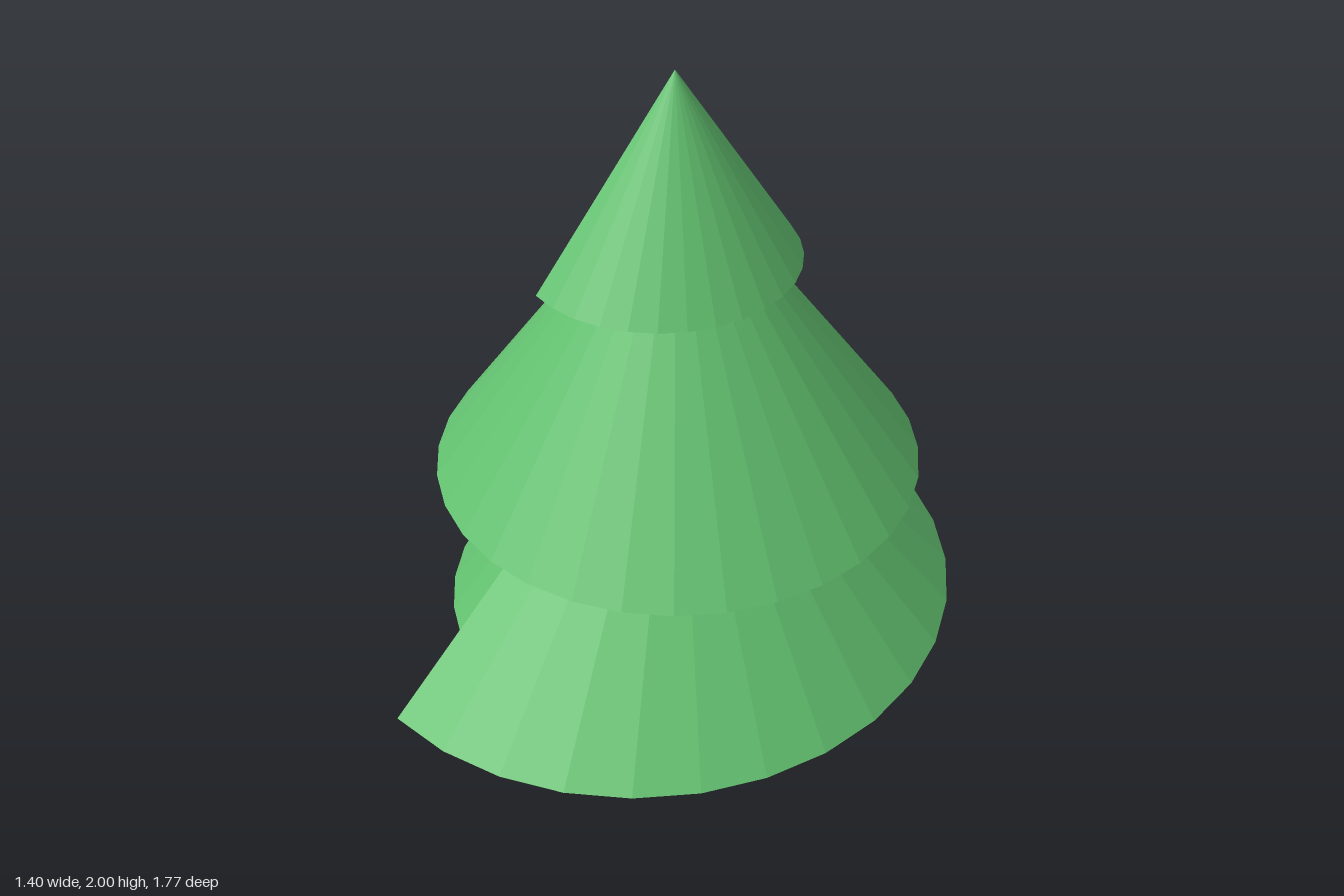
import * as THREE from 'three';

const CX = -0.055, CZ = 0.01, SIDES = 32;

export function createModel() {
  const tree = new THREE.Group();
  tree.name = 'firTree';
  const green = new THREE.MeshStandardMaterial({ color: 0x62c06f, flatShading: true });
  const brown = new THREE.MeshStandardMaterial({ color: 0xd9825a, flatShading: true });
  const grey = new THREE.MeshStandardMaterial({ color: 0xcccccc });

  function add(name, geometry, material) {
    const mesh = new THREE.Mesh(geometry, material);
    mesh.name = name;
    tree.add(mesh);
    return mesh;
  }

  // Cone tier; a flare moves the rim points from..to onto a wider circle
  function tier(name, radius, base, apex, flare) {
    const geo = new THREE.ConeGeometry(radius, apex - base, SIDES);
    geo.translate(CX, (apex + base) / 2, CZ);
    if (flare) {
      const p = geo.attributes.position;
      for (let i = 0; i < p.count; i++) {
        const dx = p.getX(i) - CX, dz = p.getZ(i) - CZ;
        if (Math.hypot(dx, dz) < radius * 0.5) continue;
        // Rim index: 0 at the front, 8 on the left, 16 at the back
        let k = Math.round((Math.atan2(dx, dz) / (2 * Math.PI)) * SIDES);
        if (k < -SIDES / 4) k += SIDES;
        if (k < flare.from || k > flare.to) continue;
        const a = (k / SIDES) * 2 * Math.PI;
        p.setX(i, flare.x + flare.radius * Math.sin(a));
        p.setZ(i, flare.z + flare.radius * Math.cos(a));
      }
      geo.computeVertexNormals();
    }
    return add(name, geo, green);
  }

  // Trunk
  const trunk = new THREE.CylinderGeometry(0.145, 0.145, 0.42, SIDES);
  trunk.translate(CX, 0.21, 0.015);
  add('trunk', trunk, brown);

  // Branch tiers
  tier('lowerBranches', 0.65, 0.41, 1.3, { from: -1, to: 16, x: -0.19, z: 0, radius: 0.887 });
  tier('middleBranches', 0.65, 0.895, 1.79);
  tier('topBranches', 0.255, 1.49, 2, { from: -2, to: 17, x: -0.105, z: 0.005, radius: 0.357 });

  // Grey disc under the top tier
  const disc = new THREE.CircleGeometry(0.245, SIDES);
  disc.rotateX(Math.PI / 2);
  disc.translate(CX, 1.487, CZ);
  add('topUnderside', disc, grey);

  return tree;
}
